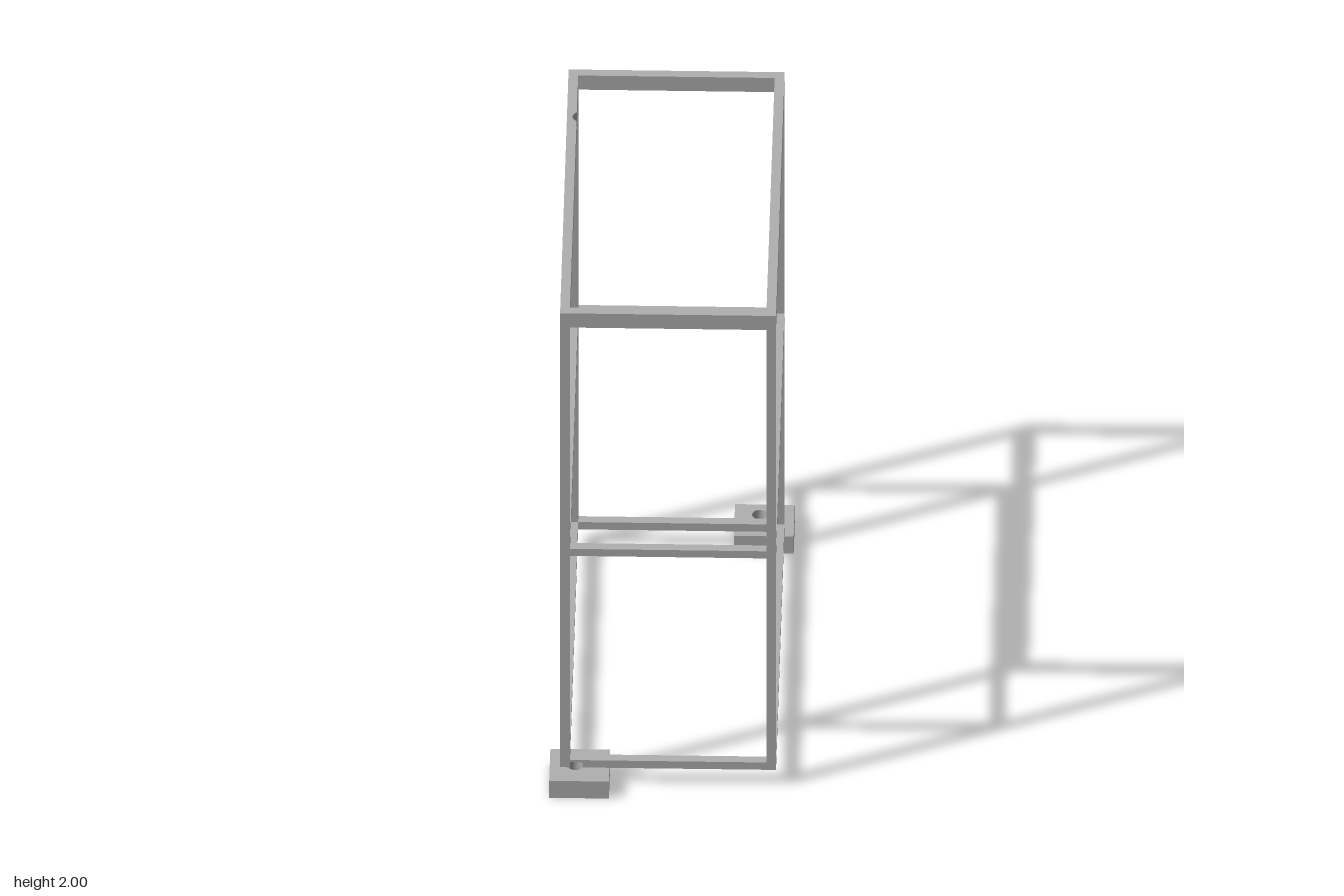
import * as THREE from 'three';

const steel = new THREE.MeshStandardMaterial({ color: 0xb0b0b0 });
steel.name = 'grey steel';

// Frame extents and tube thickness
const X = 0.365, ZB = -0.66, ZF = 0.70, T = 0.033;
const FOOT = 0.072, TOP = 1.94;
const IX = X - T, IB = ZB + T, IF = ZF - T;

// Plan points are (x, z); the shape plane is (x, -z)
const pt = (x, z) => new THREE.Vector2(x, -z);
const rect = (x0, x1, z0, z1) => [pt(x0, z0), pt(x0, z1), pt(x1, z1), pt(x1, z0)];

// Points on a circle in plan, from angle a to angle b
function arc(cx, cz, r, a, b, n = 16) {
  return Array.from({ length: n + 1 }, (_, i) => {
    const t = a + (b - a) * i / n;
    return pt(cx + r * Math.cos(t), cz + r * Math.sin(t));
  });
}

// Plan outline raised from y0 to y1
function slab(name, outline, y0, y1, hole) {
  const shape = new THREE.Shape(outline);
  if (hole) shape.holes.push(new THREE.Path(hole));
  const geo = new THREE.ExtrudeGeometry(shape, { depth: y1 - y0, bevelEnabled: false });
  geo.rotateX(-Math.PI / 2);
  geo.translate(0, y0, 0);
  const mesh = new THREE.Mesh(geo, steel);
  mesh.name = name;
  return mesh;
}

export function createModel() {
  const model = new THREE.Group();
  model.name = 'rackFrame';

  // Four uprights
  for (const x of [-X, IX]) {
    for (const z of [ZB, IF]) {
      model.add(slab('upright', rect(x, x + T, z, z + T), FOOT, TOP));
    }
  }

  // Middle and bottom rails, fitted between the uprights
  const hx = -0.313, hz = 0.689, hr = 0.026;
  for (const [level, y0, y1] of [['bottom', FOOT, 0.103], ['middle', 0.97, 1.0]]) {
    for (const x of [-X, IX]) {
      model.add(slab(level + 'SideRail', rect(x, x + T, IB, IF), y0, y1));
    }
    model.add(slab(level + 'BackRail', rect(-IX, IX, ZB, IB), y0, y1));
    if (level === 'middle') {
      model.add(slab('middleFrontRail', rect(-IX, IX, IF, ZF), y0, y1));
    }
  }

  // Bottom front rail, its underside cut round above the foot hole
  const cut = arc(hx, hz, hr, Math.asin((IF - hz) / hr), Math.asin((ZF - hz) / hr));
  model.add(slab('bottomFrontRailUnderside', [...cut, pt(IX, ZF), pt(IX, IF)], FOOT, 0.094));
  model.add(slab('bottomFrontRail', rect(-IX, IX, IF, ZF), 0.094, 0.103));

  // Top rim with a round groove in the right rail and a shallow one in the front rail
  const gx = -0.319, gr = 0.027, ga = Math.acos((-IX - gx) / gr);
  const sz = 0.603, sr = 0.072, sa = Math.asin((IF - sz) / sr);
  const inner = [
    pt(-IX, IB),
    ...arc(gx, -0.397, gr, 2 * Math.PI - ga, ga),
    pt(-IX, IF),
    ...arc(-0.073, sz, sr, Math.PI - sa, sa),
    pt(IX, IF),
    pt(IX, IB),
  ];
  model.add(slab('topRim', rect(-X, X, ZB, ZF), TOP, 2, inner));

  // Two drilled feet on opposite corners
  model.add(slab('frontFoot', rect(-0.40, -0.198, 0.598, 0.777), 0, FOOT,
    arc(hx, hz, hr, 0, 2 * Math.PI, 32).slice(1)));
  model.add(slab('backFoot', rect(0.195, 0.397, -0.779, -0.602), 0, FOOT,
    arc(0.28, -0.722, hr, 0, 2 * Math.PI, 32).slice(1)));

  return model;
}
